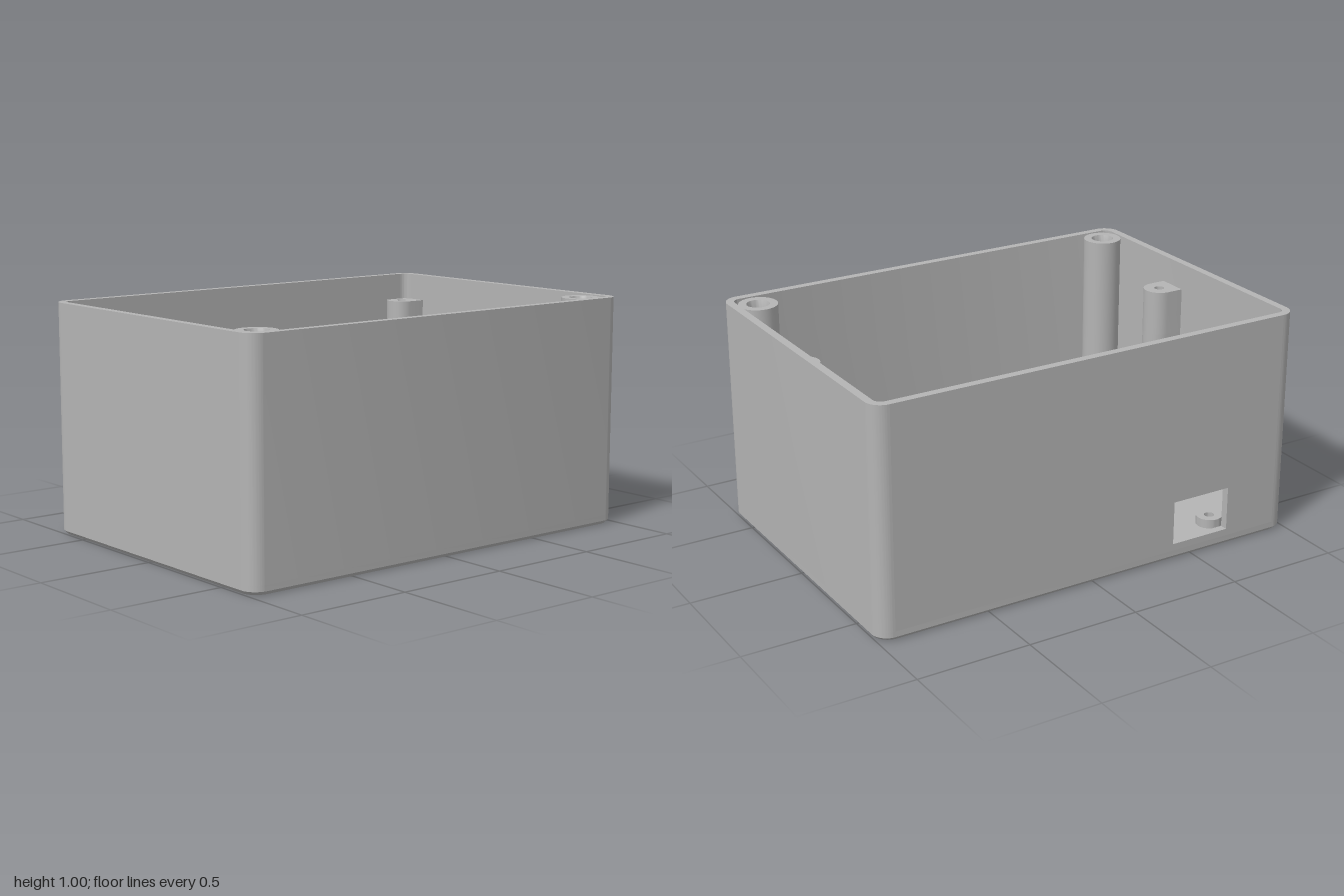
import * as THREE from 'three';
import { toCreasedNormals } from 'three/addons/utils/BufferGeometryUtils.js';

const PI = Math.PI;
const FLOOR = 0.04, WALL = 0.035, X = 1, Z = 0.7, R = 0.07;
const CX = X - R, CZ = Z - R; // centres of the rounded corners

export function createModel() {
  const group = new THREE.Group();
  const grey = new THREE.MeshStandardMaterial({ color: 0xb4b4b4 });
  grey.name = 'grey plastic';

  const add = (name, geometry, x = 0, y = 0, z = 0) => {
    const mesh = new THREE.Mesh(toCreasedNormals(geometry, 0.5), grey);
    mesh.name = name;
    mesh.position.set(x, y, z);
    group.add(mesh);
  };

  // Plan shapes are drawn with shape y = -z, then raised from y0 to y1
  const raise = (shape, y0, y1) =>
    new THREE.ExtrudeGeometry(shape, { depth: y1 - y0, bevelEnabled: false, curveSegments: 12 })
      .rotateX(-PI / 2).translate(0, y0, 0);
  const circle = (x, y, r) => new THREE.Path().absarc(x, y, r, 0, 2 * PI, false);
  const lathe = (points) =>
    new THREE.LatheGeometry(points.map(([r, y]) => new THREE.Vector2(r, y)), 40);

  // Floor with three screw holes and a chamfered lower edge
  const screws = [[-0.44, 0.43], [-0.11, 0.32], [-0.11, 0.53]];
  const plan = new THREE.Shape();
  plan.absarc(CX, CZ, R, 0, PI / 2, false);
  plan.absarc(-CX, CZ, R, PI / 2, PI, false);
  plan.absarc(-CX, -CZ, R, PI, 1.5 * PI, false);
  plan.absarc(CX, -CZ, R, 1.5 * PI, 2 * PI, false);
  screws.forEach(([x, z]) => plan.holes.push(circle(x, -z, 0.078)));
  add('floor', raise(plan, 0.015, FLOOR));

  const chamfer = raise(plan, 0, 0.015);
  const p = chamfer.attributes.position;
  for (let i = 0; i < p.count; i++) {
    const x = p.getX(i), z = p.getZ(i);
    if (p.getY(i) < 0.001 && (Math.abs(x) > 0.85 || Math.abs(z) > 0.62)) {
      p.setX(i, x * (X - 0.012) / X);
      p.setZ(i, z * (Z - 0.012) / Z);
    }
  }
  add('floorChamfer', chamfer);

  // Front and side walls with all four rounded corners
  const ring = new THREE.Shape();
  const r = R - WALL;
  ring.moveTo(CX, Z);
  ring.absarc(CX, CZ, R, PI / 2, 0, true);
  ring.absarc(CX, -CZ, R, 0, -PI / 2, true);
  ring.absarc(-CX, -CZ, R, -PI / 2, -PI, true);
  ring.absarc(-CX, CZ, R, PI, PI / 2, true);
  ring.absarc(-CX, CZ, r, PI / 2, PI, false);
  ring.absarc(-CX, -CZ, r, PI, 1.5 * PI, false);
  ring.absarc(CX, -CZ, r, -PI / 2, 0, false);
  ring.absarc(CX, CZ, r, 0, PI / 2, false);
  ring.closePath();
  add('frontAndSideWalls', raise(ring, FLOOR, 1));

  // Back wall with the connector window
  const rect = (path, x0, y0, x1, y1) =>
    path.moveTo(x0, y0).lineTo(x1, y0).lineTo(x1, y1).lineTo(x0, y1).closePath();
  const back = new THREE.Shape();
  rect(back, -CX, FLOOR, CX, 1);
  const opening = new THREE.Path();
  rect(opening, -0.68, 0.07, -0.4, 0.265);
  back.holes.push(opening);
  add('backWall', new THREE.ExtrudeGeometry(back, { depth: WALL, bevelEnabled: false }), 0, 0, -Z);

  // Countersunk bosses around the floor holes
  for (const [x, z] of screws) {
    add('countersunkBoss',
      lathe([[0.093, 0.03], [0.093, 0.07], [0.042, 0.07], [0.042, 0.035], [0.078, 0]]), x, 0, z);
  }

  // Short circuit board standoffs
  for (const x of [-0.69, 0.675]) for (const z of [-0.565, -0.02]) {
    add('boardStandoff',
      lathe([[0.057, 0.03], [0.057, 0.08], [0.022, 0.08], [0.022, 0.045], [0, 0.045]]), x, 0, z);
  }

  for (const s of [-1, 1]) {
    // Tall lid posts in the front corners, with tapered insert holes
    add('cornerPost',
      lathe([[0.085, 0.03], [0.085, 0.995], [0.05, 0.995], [0.037, 0.95], [0.037, 0.75], [0, 0.75]]),
      s * 0.88, 0, 0.58);

    // D-shaped posts growing out of the side walls
    for (const z of [-0.61, 0.13]) {
      const post = new THREE.Shape();
      post.moveTo(s * 0.975, -z - 0.07);
      post.lineTo(s * 0.89, -z - 0.07);
      post.absarc(s * 0.89, -z, 0.07, -PI / 2, PI / 2, s > 0);
      post.lineTo(s * 0.975, -z + 0.07);
      post.closePath();
      add('sidePostBase', raise(post, 0.03, 0.68));
      post.holes.push(circle(s * 0.89, -z, 0.022));
      add('sidePostTop', raise(post, 0.68, 0.88));
    }
  }
  return group;
}
